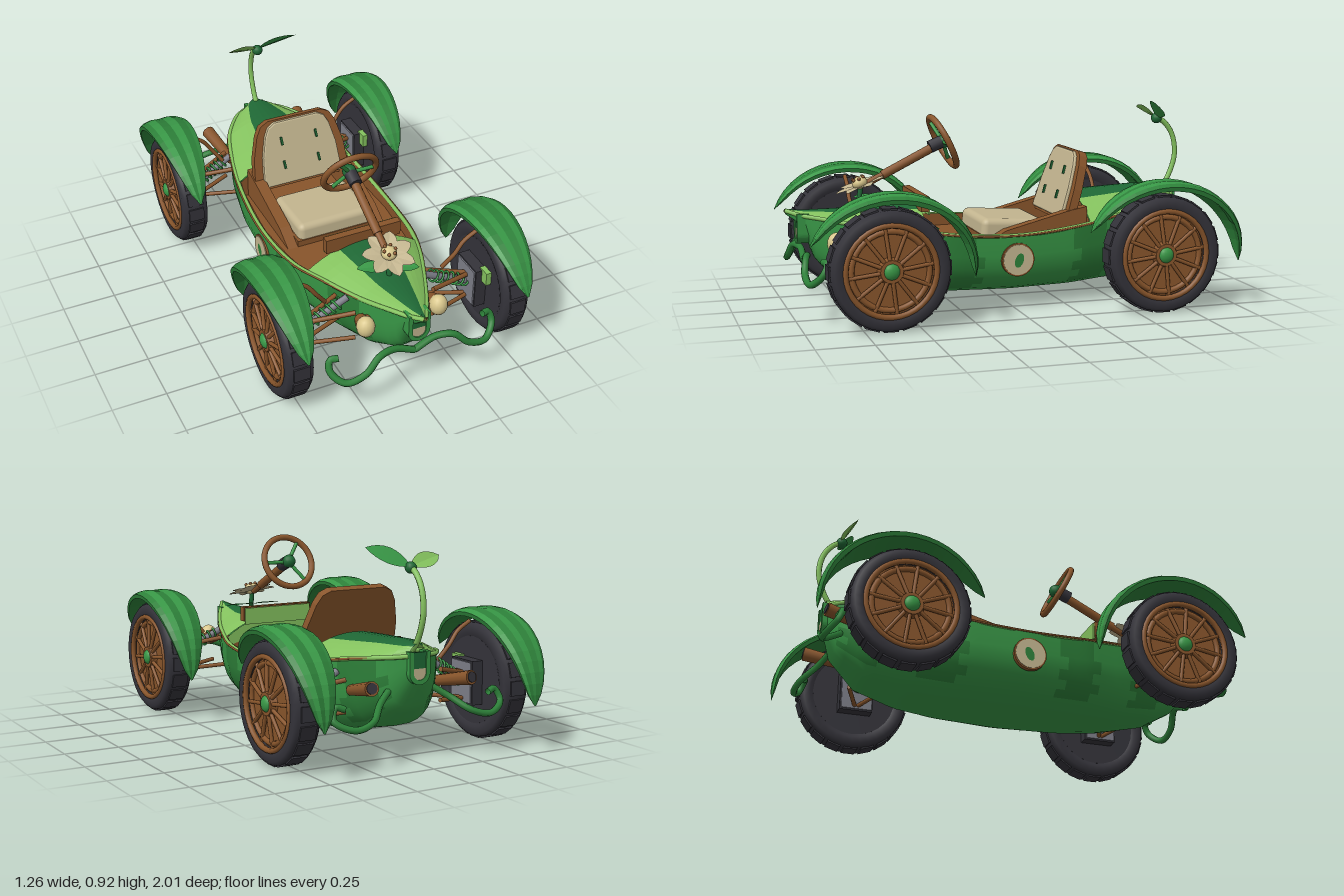
import * as THREE from 'three';
import { ParametricGeometry } from 'three/addons/geometries/ParametricGeometry.js';
import { RoundedBoxGeometry } from 'three/addons/geometries/RoundedBoxGeometry.js';

const mat = (name, color) => Object.assign(new THREE.MeshStandardMaterial({ color, side: THREE.DoubleSide }), { name });
const LIGHT = mat('light green', 0x84c25e), MID = mat('leaf green', 0x389746), STRIPE = mat('stripe green', 0x2d8039);
const DARK = mat('dark green', 0x1f6835), WOOD = mat('wood', 0x88552b), CREAM = mat('cream', 0xc4b690);
const LAMP = mat('lamp cream', 0xd9c78c), TYRE = mat('tyre', 0x34333a), METAL = mat('metal', 0x7d7e88);

const V = (p) => new THREE.Vector3(...p);
const lerp = THREE.MathUtils.lerp;
function add(parent, name, geo, material, pos = [0, 0, 0], rot = [0, 0, 0]) {
  const m = new THREE.Mesh(geo, material);
  m.name = name;
  m.position.set(...pos);
  m.rotation.set(...rot);
  parent.add(m);
  return m;
}
const box = (g, name, size, m, pos, rot) => add(g, name, new THREE.BoxGeometry(...size), m, pos, rot);
const ball = (g, name, r, m, pos) => add(g, name, new THREE.SphereGeometry(r, 16, 10), m, pos);
const shape = (pts) => new THREE.Shape(pts.map((p) => new THREE.Vector2(...p)));
function rod(g, name, a, b, r, m, r2 = r) {
  const d = V(b).sub(V(a));
  const mesh = add(g, name, new THREE.CylinderGeometry(r2, r, d.length(), 10), m);
  mesh.position.copy(V(a)).addScaledVector(d, 0.5);
  mesh.quaternion.setFromUnitVectors(new THREE.Vector3(0, 1, 0), d.normalize());
}
const tube = (g, name, pts, r, m, n = 32) =>
  add(g, name, new THREE.TubeGeometry(new THREE.CatmullRomCurve3(pts.map(V)), n, r, 8), m);

// Sheet whose cells may take different materials, faceted or smooth
function sheet(g, name, fn, nu, nv, mats, pick, smooth = false) {
  let geo = new ParametricGeometry((u, v, t) => t.set(...fn(u, v)), nu, nv);
  if (!smooth) geo = geo.toNonIndexed();
  geo.computeVertexNormals();
  if (pick) for (let i = 0; i < nv; i++) for (let j = 0; j < nu; j++)
    geo.addGroup((i * nu + j) * 6, 6, pick((j + 0.5) / nu, (i + 0.5) / nv));
  return add(g, name, geo, mats);
}
// Pointed leaf along +x, lightly folded and arched
function leaf(g, name, len, wid, m, pos, rot, power = 0.8) {
  const mesh = sheet(g, name, (u, v) => {
    const s = 2 * u - 1, w = wid * Math.sin(Math.PI * v) ** power;
    return [len * v, Math.abs(s) * w * 0.15 + 0.06 * len * v * (1 - v), s * w];
  }, 4, 8, m);
  mesh.position.set(...pos);
  mesh.rotation.set(...rot);
}

// Hull stations: z, half width, rim height, keel height
const STATIONS = [
  [-0.87, 0.05, 0.46, 0.36], [-0.83, 0.12, 0.455, 0.24], [-0.7, 0.215, 0.44, 0.125], [-0.5, 0.28, 0.405, 0.075],
  [-0.3, 0.315, 0.37, 0.06], [0, 0.333, 0.345, 0.055], [0.3, 0.31, 0.358, 0.06], [0.5, 0.25, 0.385, 0.072],
  [0.7, 0.165, 0.4, 0.11], [0.86, 0.085, 0.425, 0.2], [0.93, 0.045, 0.435, 0.39], [1, 0.003, 0.455, 0.44]];
function hullAt(z) {
  let i = 0;
  while (i < STATIONS.length - 2 && z > STATIONS[i + 1][0]) i++;
  const a = STATIONS[i], b = STATIONS[i + 1], t = (z - a[0]) / (b[0] - a[0]);
  return [1, 2, 3].map((k) => lerp(a[k], b[k], t));
}

function buildBody(g) {
  // Striped hull
  sheet(g, 'hull', (u, v) => {
    const z = lerp(-0.87, 1, v), [w, rim, keel] = hullAt(z), a = Math.PI * u, c = Math.cos(a);
    return [Math.sign(c) * w * Math.abs(c) ** 0.66, rim - (rim - keel) * Math.sin(a) ** 0.66, z];
  }, 16, 44, [MID, STRIPE], (u, v) => {
    const z = lerp(-0.87, 1, v) + (Math.floor(u * 16) % 2) * 0.04;
    return Math.abs(u - 0.5) > 0.2 && [0.29, -0.36, 0.66, -0.7].some((c) => Math.abs(z - c) < 0.085) ? 1 : 0;
  }, true);
  // Crowned decks with a dark centre stripe, closed by bulkheads
  for (const [name, z0, z1, c0, c1] of [['frontDeck', 0.4, 1, 0.1, 0.01], ['rearDeck', -0.36, -0.87, 0.11, 0.05]]) {
    const deck = (u, v) => {
      const z = lerp(z0, z1, v), [w, rim] = hullAt(z), s = 2 * u - 1;
      return [w * s, rim + lerp(c0, c1, v) * (1 - s * s), z];
    };
    sheet(g, name, deck, 14, 14, [LIGHT, DARK], (u) => (Math.abs(2 * u - 1) < 0.43 ? 1 : 0));
    sheet(g, name + 'Bulkhead', (u, v) => {
      const [x, y, z] = deck(u, 0);
      return [x * 0.97, lerp(0.28, y, v), z];
    }, 14, 2, [WOOD, LIGHT], (u, v) => (z0 > 0 && v > 0.5 ? 1 : 0));
  }
  // Cockpit floor and lining
  sheet(g, 'floor', (u, v) => {
    const z = lerp(-0.36, 0.4, v);
    return [hullAt(z)[0] * 0.95 * (2 * u - 1), 0.3, z];
  }, 2, 10, WOOD);
  for (const s of [-1, 1]) {
    sheet(g, 'cockpitLining', (u, v) => {
      const z = lerp(-0.36, 0.4, v), [w, rim] = hullAt(z);
      return [s * w * 0.94, lerp(0.28, rim + 0.003, u), z];
    }, 1, 10, WOOD);
    const edge = (k, up) => STATIONS.map(([z, w, rim]) => [s * w * k, rim + up, z]);
    tube(g, 'rim', edge(0.968, 0), 0.01, LIGHT, 60);
    tube(g, 'rimTrim', edge(1, 0), 0.005, WOOD, 60);
    // Side badge
    add(g, 'badgeRim', new THREE.CylinderGeometry(0.077, 0.077, 0.02, 24), WOOD, [s * 0.325, 0.235, 0], [0, 0, Math.PI / 2]);
    add(g, 'badgeFace', new THREE.CylinderGeometry(0.07, 0.07, 0.026, 24), CREAM, [s * 0.325, 0.235, 0], [0, 0, Math.PI / 2]);
    const mark = add(g, 'badgeLeaf', new THREE.CircleGeometry(0.034, 14), STRIPE, [s * 0.3395, 0.232, -0.004], [0, s * Math.PI / 2, 0]);
    mark.rotateZ(-0.35 * s);
    mark.scale.x = 0.6;
  }
  // U-shaped frames at bow and stern
  const u = new THREE.Shape();
  u.moveTo(-0.052, 0.12).lineTo(-0.052, 0.03).absarc(0, 0.03, 0.052, Math.PI, 2 * Math.PI).lineTo(0.052, 0.12);
  u.lineTo(0.032, 0.12).lineTo(0.032, 0.03).absarc(0, 0.03, 0.032, 0, Math.PI, true).lineTo(-0.032, 0.12);
  for (const [y, z, face] of [[0.325, 0.9, 0.944], [0.36, -0.89, -0.88]]) {
    add(g, 'endFrame', new THREE.ExtrudeGeometry(u, { depth: 0.055, bevelEnabled: false }), MID, [0, y, z]);
    box(g, 'endFrameInset', [0.064, 0.05, 0.012], CREAM, [0, y + 0.022, face]);
    box(g, 'endFrameShade', [0.064, 0.07, 0.012], DARK, [0, y + 0.082, face]);
  }
}

function buildSeat(g) {
  const outline = [[-0.25, 0], [-0.235, 0.16], [-0.205, 0.27], [-0.18, 0.315], [-0.14, 0.335]];
  const back = shape([...outline, ...outline.map(([x, y]) => [-x, y]).reverse()]);
  const seat = new THREE.Group();
  seat.name = 'seatBack';
  seat.position.set(0, 0.375, -0.265);
  seat.rotation.x = -0.3;
  g.add(seat);
  add(seat, 'seatFrame', new THREE.ExtrudeGeometry(back, { depth: 0.04, bevelEnabled: false }), WOOD, [0, 0, -0.03]);
  const pad = add(seat, 'seatPad', new THREE.ExtrudeGeometry(back,
    { depth: 0.012, bevelThickness: 0.01, bevelSize: 0.01, bevelSegments: 2 }), CREAM, [0, 0.02, 0.005]);
  pad.scale.set(0.79, 0.89, 1);
  for (const x of [-0.09, 0.09]) for (const y of [0.11, 0.23])
    box(seat, 'seatButton', [0.01, 0.04, 0.012], DARK, [x, y, 0.03], [0, 0, 0.1]);
  add(g, 'cushion', new RoundedBoxGeometry(0.375, 0.1, 0.31, 3, 0.03), CREAM, [0, 0.345, -0.03], [-0.06, 0, 0]);
  box(g, 'seatBase', [0.4, 0.06, 0.36], WOOD, [0, 0.3, -0.05]);
  // Rising side panels
  const wedge = shape([[0.13, 0.3], [0.03, 0.355], [-0.26, 0.43], [-0.36, 0.45], [-0.36, 0.3]]);
  for (const x of [0.25, -0.195])
    add(g, 'seatSide', new THREE.ExtrudeGeometry(wedge, { depth: 0.055, bevelEnabled: false }), WOOD, [x, 0, 0], [0, -Math.PI / 2, 0]);
}

function buildSteering(g) {
  box(g, 'dashBar', [0.37, 0.07, 0.035], WOOD, [0, 0.485, 0.395]);
  box(g, 'dashPlate', [0.36, 0.08, 0.008], LIGHT, [0, 0.475, 0.374]);
  for (const x of [-0.09, 0.09]) box(g, 'pedal', [0.06, 0.07, 0.02], DARK, [x, 0.335, 0.34], [-0.6, 0, 0]);
  rod(g, 'column', [0, 0.73, 0.29], [0, 0.6, 0.55], 0.021, WOOD);
  rod(g, 'columnTip', [0, 0.6, 0.55], [0, 0.56, 0.63], 0.016, WOOD);
  rod(g, 'columnCollar', [0, 0.745, 0.27], [0, 0.722, 0.325], 0.03, TYRE);
  const wheel = new THREE.Group();
  wheel.name = 'steeringWheel';
  wheel.position.set(0, 0.745, 0.262);
  wheel.rotation.x = 0.455;
  g.add(wheel);
  add(wheel, 'wheelRing', new THREE.TorusGeometry(0.127, 0.015, 10, 36), WOOD);
  for (const a of [0, 2.2, 4.1]) rod(wheel, 'wheelSpoke', [0, 0, 0], [0.125 * Math.cos(a), 0.125 * Math.sin(a), 0], 0.009, MID);
  ball(wheel, 'wheelHub', 0.032, DARK, [0, 0, -0.008]);
  // Blossom on the bow
  const f = new THREE.Group();
  f.name = 'blossom';
  f.position.set(0, 0.55, 0.65);
  f.rotation.x = 0.35;
  g.add(f);
  for (let i = 0; i < 7; i++) leaf(f, 'petal', 0.122, 0.036, CREAM, [0, 0, 0], [0, i * Math.PI * 2 / 7 + 0.2, 0.1], 0.6);
  ball(f, 'blossomCentre', 0.036, LAMP, [0, 0.02, 0]).scale.y = 0.8;
  for (let i = 0; i < 6; i++) ball(f, 'stamen', 0.008, WOOD, [0.027 * Math.cos(i * 1.047), 0.042, 0.027 * Math.sin(i * 1.047)]);
  rod(g, 'blossomStem', [0, 0.43, 0.67], [0, 0.56, 0.65], 0.012, DARK);
  for (const a of [0.5, 2.9, -0.4]) leaf(g, 'blossomLeaf', 0.14, 0.035, MID, [0, 0.49, 0.65], [0.15, a, 0]);
}

function buildSprout(g) {
  tube(g, 'sproutStem', [[0, 0.47, -0.82], [0, 0.52, -0.865], [0, 0.64, -0.908], [0, 0.74, -0.895], [0, 0.8, -0.855], [0, 0.83, -0.81]], 0.013, LIGHT);
  ball(g, 'sproutNode', 0.026, DARK, [0, 0.825, -0.81]);
  leaf(g, 'sproutLeaf', 0.21, 0.048, MID, [0, 0.83, -0.81], [-Math.PI / 4, -0.58, 0]);
  leaf(g, 'sproutLeaf', 0.175, 0.04, LIGHT, [0, 0.83, -0.81], [-Math.PI / 4, Math.PI + 0.3, 0]);
}

// Mudguard section: across, depth below the crown
const GUARD = [[-1, 0.06], [-0.75, 0.02], [-0.4, 0], [0, 0.008], [0.4, 0], [0.75, 0.02], [1, 0.06], [0.96, 0.12], [0, 0.075], [-0.96, 0.12], [-1, 0.06]];

function buildWheel(g, z) {
  const w = new THREE.Group();
  w.name = 'wheel';
  w.position.set(0.525, 0.268, z);
  g.add(w);
  const lay = [0, 0, -Math.PI / 2];
  const profile = [[0.19, -0.05], [0.215, -0.062], [0.245, -0.062], [0.26, -0.048], [0.264, 0], [0.26, 0.048],
    [0.245, 0.062], [0.215, 0.062], [0.19, 0.05], [0.19, -0.05]].map((p) => new THREE.Vector2(...p));
  add(w, 'tyre', new THREE.LatheGeometry(profile, 36), TYRE, [0, 0, 0], lay);
  for (let i = 0; i < 20; i++) {
    const a = (i / 20) * Math.PI * 2;
    box(w, 'tread', [0.075, 0.012, 0.065], TYRE, [0, 0.261 * Math.cos(a), 0.261 * Math.sin(a)], [a, 0, 0]);
  }
  add(w, 'wheelDisc', new THREE.CylinderGeometry(0.2, 0.2, 0.06, 32), WOOD, [0.005, 0, 0], lay);
  for (const [r, x] of [[0.198, 0.055], [0.17, 0.038]])
    add(w, 'wheelRim', new THREE.TorusGeometry(r, 0.013, 8, 36), WOOD, [x, 0, 0], [0, Math.PI / 2, 0]);
  for (let i = 0; i < 12; i++) {
    const a = (i / 12) * Math.PI * 2 + 0.13;
    rod(w, 'spoke', [0.055, 0, 0], [0.042, 0.195 * Math.cos(a), 0.195 * Math.sin(a)], 0.009, WOOD);
  }
  add(w, 'hub', new THREE.CylinderGeometry(0.05, 0.06, 0.03, 20), WOOD, [0.048, 0, 0], lay);
  ball(w, 'hubCap', 0.036, MID, [0.058, 0, 0]).scale.x = 0.6;
  add(w, 'innerDisc', new THREE.CylinderGeometry(0.2, 0.2, 0.02, 28), TYRE, [-0.045, 0, 0], lay);
  box(w, 'brakePlate', [0.055, 0.2, 0.16], TYRE, [-0.085, 0, 0]);
  box(w, 'brakeFace', [0.008, 0.185, 0.145], METAL, [-0.115, 0, 0]);
  box(w, 'brakeClip', [0.025, 0.065, 0.06], LIGHT, [-0.07, 0.075, 0.09]);
  // Arched leaf mudguard
  sheet(g, 'mudguard', (u, v) => {
    const a = lerp(0.34, Math.PI + 0.17, v), bow = Math.sin(Math.PI * v);
    const [s, drop] = GUARD[Math.round(u * 10) % 11], r = 1 - drop * Math.sqrt(bow);
    return [0.525 + s * (0.004 + 0.101 * bow ** 0.65), 0.268 + 0.332 * r * Math.sin(a), z - 0.016 + 0.376 * r * Math.cos(a)];
  }, 10, 20, [MID, STRIPE], (u) => (u > 0.6 ? 1 : Math.floor(u * 10) % 2));
  tube(g, 'mudguardStay', [[0.29, 0.37, z * 0.97], [0.34, 0.44, z], [0.385, 0.5, z], [0.45, 0.54, z]], 0.01, WOOD, 14);
  // Wishbones and coil spring
  const inner = hullAt(z)[0];
  for (const dz of [-0.075, 0.085]) {
    rod(g, 'upperArm', [0.43, 0.305, z], [inner, 0.35, z + dz], 0.011, WOOD);
    rod(g, 'lowerArm', [0.43, 0.19, z], [inner, 0.21, z + dz], 0.01, WOOD);
  }
  rod(g, 'damper', [0.41, 0.27, z], [inner, 0.375, z], 0.016, METAL);
  const coil = [];
  for (let i = 0; i <= 56; i++) {
    const t = i / 56, a = i * Math.PI / 4;
    coil.push([lerp(0.41, inner + 0.03, t) + 0.012 * Math.cos(a), lerp(0.27, 0.36, t) + 0.024 * Math.cos(a), z + 0.027 * Math.sin(a)]);
  }
  tube(g, 'spring', coil, 0.005, MID, 150);
}

function buildSide(name) {
  const g = new THREE.Group();
  g.name = name;
  buildWheel(g, 0.64);
  buildWheel(g, -0.615);
  // Curling bumpers
  tube(g, 'frontBumper', [[0, 0.225, 0.92], [0.1, 0.265, 0.92], [0.18, 0.265, 0.94], [0.25, 0.205, 0.955], [0.34, 0.18, 0.945],
    [0.395, 0.23, 0.9], [0.385, 0.275, 0.88], [0.35, 0.28, 0.89]], 0.016, STRIPE, 48);
  tube(g, 'rearBumper', [[0.08, 0.33, -0.8], [0.17, 0.27, -0.85], [0.25, 0.21, -0.92], [0.34, 0.19, -0.93],
    [0.42, 0.23, -0.89], [0.4, 0.28, -0.87], [0.36, 0.27, -0.88]], 0.015, STRIPE, 48);
  // Headlamp
  rod(g, 'lampArm', [0.1, 0.32, 0.72], [0.18, 0.32, 0.77], 0.018, WOOD);
  rod(g, 'lampShell', [0.175, 0.32, 0.73], [0.175, 0.32, 0.79], 0.025, WOOD, 0.042);
  ball(g, 'headlamp', 0.042, LAMP, [0.178, 0.325, 0.8]).scale.y = 1.2;
  // Exhaust
  rod(g, 'exhaust', [0.21, 0.3, -0.68], [0.25, 0.35, -0.91], 0.024, WOOD, 0.032);
  rod(g, 'exhaustMouth', [0.25, 0.35, -0.905], [0.2515, 0.352, -0.914], 0.024, TYRE);
  return g;
}

export function createModel() {
  const g = new THREE.Group();
  g.name = 'gardenRacer';
  [buildBody, buildSeat, buildSteering, buildSprout].forEach((build) => build(g));
  const left = buildSide('leftRunningGear'), right = buildSide('rightRunningGear');
  right.scale.x = -1;
  g.add(left, right);
  return g;
}
